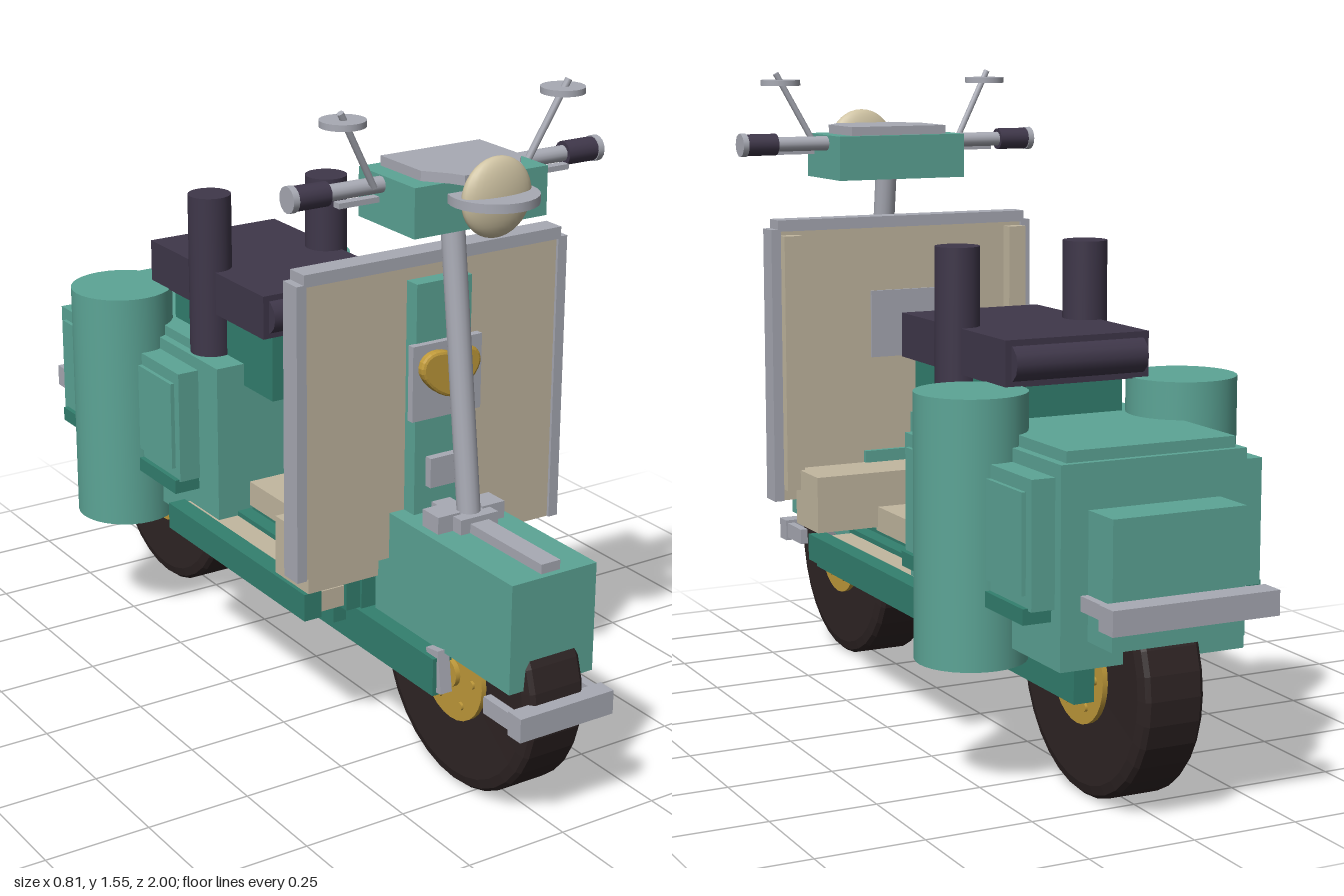
import * as THREE from 'three';

const paint = (name, color) => Object.assign(new THREE.MeshStandardMaterial({ color }), { name });

export function createModel() {
  const root = new THREE.Group();
  root.name = 'scooter';
  const green = paint('mint green', 0x5ca596);
  const deep = paint('deep green', 0x33806f);
  const cream = paint('cream', 0xc2b7a0);
  const metal = paint('light metal', 0xa8aab4);
  const dark = paint('dark vinyl', 0x3f374a);
  const rubber = paint('rubber', 0x2e2424);
  const gold = paint('gold', 0xc09a3a);
  const lens = paint('lens', 0xcfc3a3);

  const add = (name, geo, mat, x = 0, y = 0, z = 0) => {
    const m = new THREE.Mesh(geo, mat);
    m.name = name;
    m.position.set(x, y, z);
    root.add(m);
    return m;
  };
  // Box given by its limits on each axis
  const box = (name, mat, x0, x1, y0, y1, z0, z1) =>
    add(name, new THREE.BoxGeometry(x1 - x0, y1 - y0, z1 - z0), mat,
      (x0 + x1) / 2, (y0 + y1) / 2, (z0 + z1) / 2);
  const mid = (name, mat, w, y0, y1, z0, z1) => box(name, mat, -w, w, y0, y1, z0, z1);
  const pair = (name, mat, x0, x1, ...r) => {
    box(name + 'Left', mat, x0, x1, ...r);
    box(name + 'Right', mat, -x1, -x0, ...r);
  };
  // Cylinder between two points
  const rod = (name, mat, a, b, r, sides = 16) => {
    const p = new THREE.Vector3(...a), q = new THREE.Vector3(...b);
    const d = q.clone().sub(p);
    const m = add(name, new THREE.CylinderGeometry(r, r, d.length(), sides), mat);
    m.position.copy(p).add(q).multiplyScalar(0.5);
    m.quaternion.setFromUnitVectors(new THREE.Vector3(0, 1, 0), d.normalize());
    return m;
  };

  // Wheels
  const tyreProfile = [[0.1, -0.07], [0.25, -0.076], [0.272, -0.07], [0.28, -0.06],
    [0.28, 0.06], [0.272, 0.07], [0.25, 0.076], [0.1, 0.07]].map(p => new THREE.Vector2(...p));
  for (const [tag, z] of [['front', 0.69], ['rear', -0.64]]) {
    const tyre = new THREE.LatheGeometry(tyreProfile, 32).toNonIndexed();
    tyre.computeVertexNormals();
    add(tag + 'Tyre', tyre, rubber, 0, 0.288, z).rotation.z = Math.PI / 2;
    rod(tag + 'Rim', gold, [-0.083, 0.288, z], [0.083, 0.288, z], 0.115, 28);
    rod(tag + 'Hub', gold, [-0.095, 0.288, z], [0.095, 0.288, z], 0.035);
    for (let i = 0; i < 6; i++) {
      const a = i * Math.PI / 3;
      const y = 0.288 + 0.08 * Math.sin(a), c = z + 0.08 * Math.cos(a);
      rod(tag + 'Bolt', gold, [-0.089, y, c], [0.089, y, c], 0.01, 8);
    }
  }

  // Front fender, bumper and axle links
  mid('frontFender', green, 0.112, 0.345, 0.6, 0.43, 0.94);
  mid('fenderStrip', metal, 0.025, 0.6, 0.622, 0.52, 0.925);
  pair('columnFoot', metal, 0.03, 0.09, 0.6, 0.64, 0.58, 0.64);
  mid('columnBase', metal, 0.05, 0.6, 0.635, 0.57, 0.67);
  mid('frontBumper', metal, 0.125, 0.262, 0.318, 0.955, 1);
  pair('frontBumperArm', metal, 0.1, 0.12, 0.27, 0.31, 0.86, 0.96);
  for (const s of [-1, 1]) {
    add('axleLink', new THREE.BoxGeometry(0.03, 0.1, 0.045), metal, s * 0.115, 0.3, 0.688).rotation.x = -0.15;
  }

  // Chassis and footboard
  pair('chassisRail', deep, 0.09, 0.14, 0.245, 0.335, -0.73, 0.7);
  mid('chassisFloor', deep, 0.13, 0.25, 0.335, -0.35, 0.4);
  pair('lowerRail', deep, 0.13, 0.175, 0.29, 0.345, -0.18, 0.35);
  pair('innerStrip', deep, 0.135, 0.172, 0.34, 0.412, -0.23, 0.4);
  pair('sideBoard', cream, 0.165, 0.245, 0.35, 0.4, -0.23, 0.39);
  pair('outerRail', deep, 0.24, 0.285, 0.342, 0.408, -0.23, 0.4);
  mid('floorSupport', deep, 0.13, 0.335, 0.42, -0.22, 0.4);
  mid('floorBoard', cream, 0.137, 0.42, 0.482, -0.2, 0.31);
  mid('toeStep', cream, 0.3, 0.43, 0.57, 0.3, 0.44);

  // Leg shield with its trim
  mid('legShield', cream, 0.34, 0.49, 1.17, 0.443, 0.483);
  pair('shieldEdge', metal, 0.335, 0.36, 0.49, 1.175, 0.435, 0.49);
  mid('shieldTopEdge', metal, 0.342, 1.17, 1.198, 0.435, 0.49);
  pair('shieldRib', cream, 0.288, 0.335, 0.52, 1.16, 0.41, 0.445);
  mid('shieldBackPlate', metal, 0.09, 0.84, 1.01, 0.436, 0.445);
  mid('shieldSpine', green, 0.073, 0.5, 1.14, 0.48, 0.522);
  mid('hornPlate', metal, 0.092, 0.83, 1.005, 0.52, 0.538);
  mid('lowerPlate', metal, 0.043, 0.665, 0.735, 0.52, 0.542);

  // Heart-shaped horn
  const heart = new THREE.Shape();
  heart.moveTo(0, -0.05);
  heart.bezierCurveTo(0.03, -0.045, 0.075, -0.005, 0.072, 0.02);
  heart.bezierCurveTo(0.068, 0.055, 0.02, 0.052, 0, 0.038);
  heart.bezierCurveTo(-0.02, 0.052, -0.068, 0.055, -0.072, 0.02);
  heart.bezierCurveTo(-0.075, -0.005, -0.03, -0.045, 0, -0.05);
  add('horn', new THREE.ExtrudeGeometry(heart, { depth: 0.01, bevelThickness: 0.008,
    bevelSize: 0.007, bevelSegments: 2, curveSegments: 8 }), gold, 0, 0.935, 0.54);

  // Steering column and handlebar housing
  rod('steeringColumn', metal, [0, 0.62, 0.63], [0, 1.3, 0.543], 0.027);
  mid('barHousing', green, 0.172, 1.29, 1.4, 0.44, 0.65);
  const plate = new THREE.Shape([[-0.13, -0.46], [0.13, -0.46], [0.13, -0.61], [0.09, -0.66],
    [0.075, -0.69], [-0.075, -0.69], [-0.09, -0.66], [-0.13, -0.61]].map(p => new THREE.Vector2(...p)));
  add('housingCover', new THREE.ExtrudeGeometry(plate, { depth: 0.022, bevelEnabled: false }),
    metal, 0, 1.4, 0).rotation.x = -Math.PI / 2;

  // Headlight with its level ring
  add('headlight', new THREE.SphereGeometry(0.088, 28, 18).scale(1, 1, 0.36), lens, 0, 1.368, 0.7);
  add('headlightRing', new THREE.CylinderGeometry(0.098, 0.098, 0.02, 28), metal, 0, 1.366, 0.69);

  // Bars, grips, levers and mirrors
  for (const s of [-1, 1]) {
    rod('handlebar', metal, [s * 0.16, 1.38, 0.525], [s * 0.32, 1.38, 0.525], 0.018);
    rod('grip', dark, [s * 0.31, 1.38, 0.525], [s * 0.395, 1.38, 0.525], 0.027);
    rod('gripCap', metal, [s * 0.39, 1.38, 0.525], [s * 0.405, 1.38, 0.525], 0.029);
    add('lever', new THREE.BoxGeometry(0.1, 0.012, 0.022), metal, s * 0.25, 1.359, 0.55);
    rod('mirrorStem', metal, [s * 0.2, 1.38, 0.54], [s * 0.295, 1.555, 0.556], 0.008, 8);
    add('mirror', new THREE.CylinderGeometry(0.05, 0.05, 0.014, 24), metal, s * 0.285, 1.532, 0.55);
  }

  // Seat
  mid('seatCushion', dark, 0.18, 0.898, 1.003, -0.485, 0.055);
  for (const z of [0.04, -0.47]) {
    rod('seatRoll', dark, [-0.165, 0.95, z], [0.165, 0.95, z], 0.043, 12);
  }
  mid('seatBase', deep, 0.15, 0.735, 0.9, -0.42, 0.045);

  // Rear body
  mid('rearBody', green, 0.225, 0.35, 0.79, -0.825, -0.087);
  mid('rearLid', green, 0.205, 0.79, 0.815, -0.81, -0.2);
  pair('sidePanel', green, 0.22, 0.28, 0.48, 0.76, -0.8, -0.178);
  pair('sidePanelFace', green, 0.275, 0.29, 0.51, 0.73, -0.775, -0.2);
  pair('sideStrip', deep, 0.22, 0.292, 0.45, 0.485, -0.785, -0.182);
  mid('tailBox', green, 0.16, 0.41, 0.69, -0.928, -0.82);
  mid('rearBumper', metal, 0.2, 0.465, 0.52, -1, -0.942);
  pair('rearBumperArm', metal, 0.15, 0.178, 0.477, 0.51, -0.95, -0.82);

  // Side canisters and the posts beside the seat
  for (const s of [-1, 1]) {
    rod('canister', green, [s * 0.265, 0.305, -0.487], [s * 0.265, 0.9, -0.487], 0.126, 32);
    rod('seatPost', dark, [s * 0.165, 0.78, -0.215], [s * 0.165, 1.185, -0.215], 0.052, 24);
  }

  return root;
}
